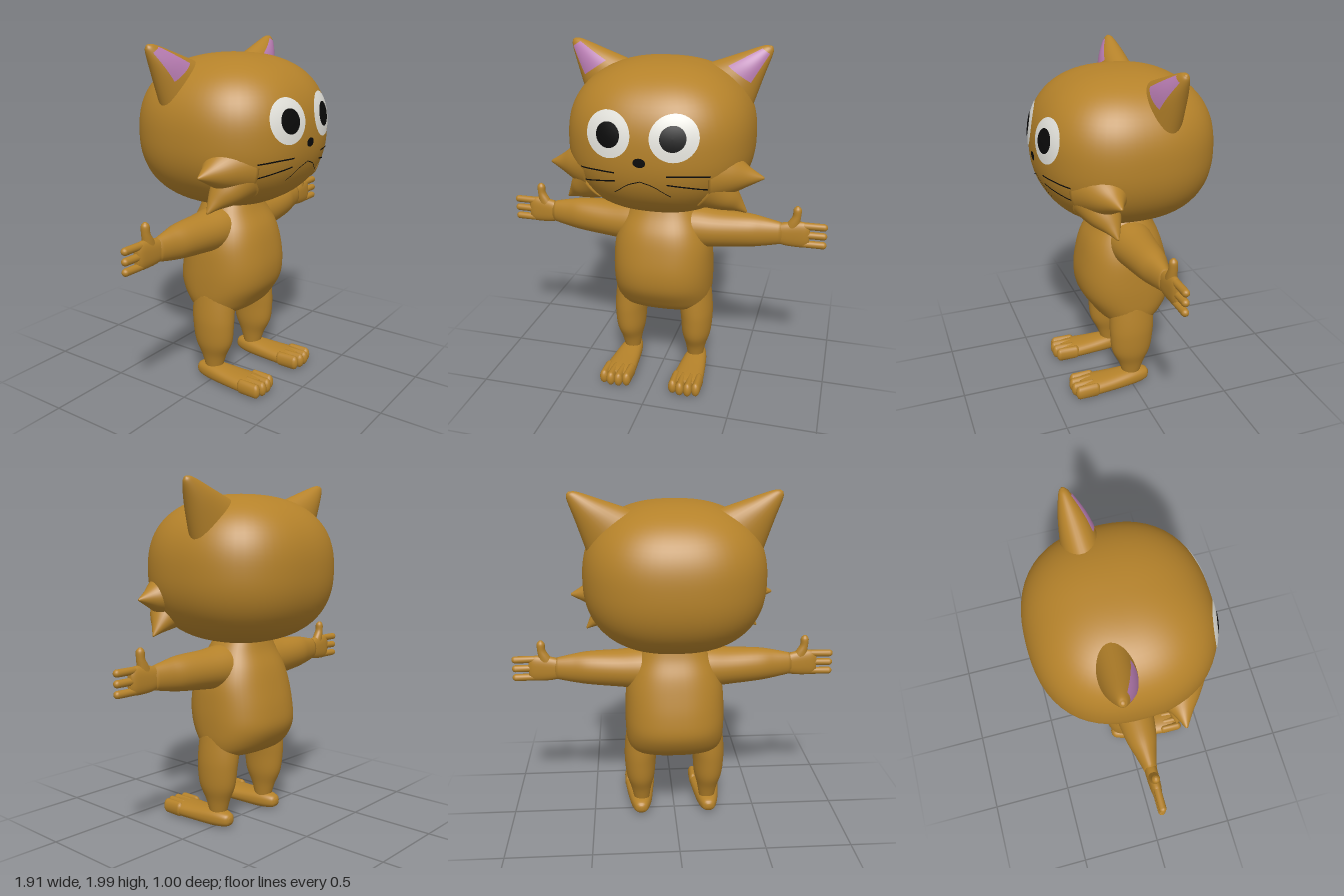
import * as THREE from 'three';
import { mergeVertices } from 'three/addons/utils/BufferGeometryUtils.js';

const material = (name, color) => {
  const m = new THREE.MeshStandardMaterial({ color });
  m.name = name;
  return m;
};

// Weld and smooth a geometry
function smooth(geo) {
  geo.deleteAttribute('uv');
  geo.deleteAttribute('normal');
  const g = mergeVertices(geo, 1e-5);
  g.computeVertexNormals();
  return g;
}

// Copy of a geometry mirrored in x
function mirrored(geo) {
  const g = geo.clone().scale(-1, 1, 1);
  g.index.array.reverse();
  g.computeVertexNormals();
  return g;
}

// Smooth skin over rings [x, y, z, a, b], with a along u and b along v.
// With opts.arc / opts.span only a patch of the skin is made, raised by opts.lift.
function loft(rings, u, v, opts = {}) {
  const { power = 2, steps = 24, sides = 32, arc = null, span = [0, 1], lift = 0 } = opts;
  const U = new THREE.Vector3(...u).normalize(), V = new THREE.Vector3(...v).normalize();
  const path = new THREE.CatmullRomCurve3(rings.map(r => new THREE.Vector3(r[0], r[1], r[2])), false, 'catmullrom');
  const size = new THREE.CatmullRomCurve3(rings.map(r => new THREE.Vector3(r[3], r[4], 0)), false, 'catmullrom');
  const along = path.getPoint(1).sub(path.getPoint(0));
  const flip = U.clone().cross(V).dot(along) < 0;
  const [from, to] = arc || [0, Math.PI * 2];
  const round = c => Math.sign(c) * Math.abs(c) ** (2 / power);
  const pos = [], idx = [];
  const tri = (a, b, c) => (flip ? idx.push(a, c, b) : idx.push(a, b, c));
  for (let i = 0; i <= steps; i++) {
    const t = span[0] + (span[1] - span[0]) * i / steps;
    const c = path.getPoint(t), s = size.getPoint(t);
    for (let j = 0; j <= sides; j++) {
      const q = from + (to - from) * j / sides;
      const p = c.clone()
        .addScaledVector(U, (Math.max(s.x, 0.002) + lift) * round(Math.cos(q)))
        .addScaledVector(V, (Math.max(s.y, 0.002) + lift) * round(Math.sin(q)));
      pos.push(p.x, p.y, p.z);
    }
  }
  const row = sides + 1;
  for (let i = 0; i < steps; i++) for (let j = 0; j < sides; j++) {
    const a = i * row + j;
    tri(a, a + 1, a + row);
    tri(a + 1, a + row + 1, a + row);
  }
  if (!arc) {
    const n = pos.length / 3, last = steps * row;
    pos.push(...path.getPoint(0).toArray(), ...path.getPoint(1).toArray());
    for (let j = 0; j < sides; j++) {
      tri(n, j + 1, j);
      tri(n + 1, last + j, last + j + 1);
    }
  }
  const g = new THREE.BufferGeometry();
  g.setAttribute('position', new THREE.Float32BufferAttribute(pos, 3));
  g.setIndex(idx);
  return smooth(g);
}

// Rounded-box head: |x/rx|^P + |y/ry|^P + |z/rz|^P = 1
const P = 2.4, HEAD = { y: 1.505, rx: 0.52, ry: 0.425, rz: 0.5 };
const faceZ = (x, y) => HEAD.rz * Math.max(0,
  1 - Math.abs(x / HEAD.rx) ** P - Math.abs((y - HEAD.y) / HEAD.ry) ** P) ** (1 / P);

function headGeometry() {
  const g = new THREE.SphereGeometry(1, 64, 48), p = g.attributes.position;
  for (let i = 0; i < p.count; i++) {
    const d = [p.getX(i), p.getY(i), p.getZ(i)];
    const s = d.reduce((sum, c) => sum + Math.abs(c) ** P, 0) ** (-1 / P);
    p.setXYZ(i, d[0] * s * HEAD.rx, d[1] * s * HEAD.ry + HEAD.y, d[2] * s * HEAD.rz);
  }
  return smooth(g);
}

// Lay a flat geometry on the face
function onFace(geo, lift) {
  const p = geo.attributes.position;
  for (let i = 0; i < p.count; i++) p.setZ(i, faceZ(p.getX(i), p.getY(i)) + lift);
  return smooth(geo);
}
const disc = (x, y, rx, ry, lift) =>
  onFace(new THREE.RingGeometry(0.0005, 1, 32, 5).scale(rx, ry, 1).translate(x, y, 0), lift);

// Thin line painted on the face, running in +x
function stroke(points, width) {
  const curve = new THREE.CatmullRomCurve3(points.map(([x, y]) => new THREE.Vector3(x, y, 0)));
  const g = new THREE.PlaneGeometry(1, width, 16, 1), p = g.attributes.position;
  for (let i = 0; i < p.count; i++) {
    const c = curve.getPoint(THREE.MathUtils.clamp(p.getX(i) + 0.5, 0, 1));
    p.setXY(i, c.x, c.y + p.getY(i));
  }
  return onFace(g, 0.004);
}

export function createModel() {
  const model = new THREE.Group();
  const fur = material('fur', 0xb5822a), pink = material('innerEarPink', 0xb87cb2);
  const white = material('eyeWhite', 0xf0efe8), black = material('black', 0x0a0a0a);
  const add = (name, geo, mat) => {
    const m = new THREE.Mesh(geo, mat);
    m.name = name;
    model.add(m);
  };
  const pair = (name, geo, mat) => {
    add('left' + name, geo, mat);
    add('right' + name, mirrored(geo), mat);
  };
  const X = [1, 0, 0], Y = [0, 1, 0], Z = [0, 0, 1];

  add('head', headGeometry(), fur);

  // Cheek tufts
  pair('UpperCheekTuft', loft([
    [0.34, 1.375, 0.25, 0.15, 0.15], [0.45, 1.365, 0.222, 0.1, 0.105],
    [0.53, 1.355, 0.214, 0.05, 0.05], [0.606, 1.35, 0.208, 0.006, 0.006]], Y, Z), fur);
  pair('LowerCheekTuft', loft([
    [0.33, 1.29, 0.25, 0.13, 0.13], [0.42, 1.225, 0.23, 0.075, 0.085],
    [0.475, 1.182, 0.208, 0.035, 0.04], [0.518, 1.143, 0.195, 0.005, 0.005]], [0.6, 0.8, 0], Z), fur);

  // Ears with pink inner patches
  const ear = [[0.31, 1.75, -0.1, 0.2, 0.115], [0.455, 1.885, -0.115, 0.1, 0.075],
    [0.548, 1.97, -0.13, 0.037, 0.03], [0.572, 1.99, -0.133, 0.008, 0.008]];
  const across = [0.83, -0.55, 0];
  pair('Ear', loft(ear, across, Z), fur);
  pair('InnerEar', loft(ear, across, Z, { arc: [0.95, 2.2], span: [0.23, 0.65], lift: 0.004, sides: 12 }), pink);

  // Face
  pair('Eye', disc(0.175, 1.607, 0.125, 0.122, 0.004), white);
  pair('Pupil', disc(0.172, 1.607, 0.067, 0.067, 0.008), black);
  add('nose', disc(0, 1.475, 0.034, 0.025, 0.005), black);
  pair('UpperWhisker', stroke([[0.14, 1.408], [0.25, 1.407], [0.355, 1.398]], 0.008), black);
  pair('LowerWhisker', stroke([[0.14, 1.36], [0.25, 1.342], [0.34, 1.32]], 0.008), black);
  pair('Mouth', stroke([[0.0, 1.37], [0.07, 1.345], [0.12, 1.31], [0.155, 1.286]], 0.005), black);

  // Torso
  add('torso', loft([
    [0, 0.425, -0.01, 0.2, 0.09], [0, 0.455, -0.015, 0.265, 0.165], [0, 0.52, -0.02, 0.288, 0.225],
    [0, 0.61, -0.015, 0.295, 0.272], [0, 0.72, -0.005, 0.295, 0.275], [0, 0.85, 0, 0.285, 0.25],
    [0, 0.95, 0, 0.255, 0.22], [0, 1.04, -0.005, 0.21, 0.175], [0, 1.11, -0.01, 0.17, 0.15]],
    X, Z, { power: 2.4, steps: 40, sides: 48 }), fur);

  // Arms, hands and fingers
  pair('Arm', loft([
    [0.1, 0.95, 0, 0.13, 0.14], [0.2, 0.952, 0, 0.125, 0.13], [0.32, 0.952, 0, 0.112, 0.115],
    [0.5, 0.957, 0, 0.1, 0.09], [0.6, 0.957, 0, 0.085, 0.062], [0.7, 0.957, 0, 0.064, 0.036]], Y, Z), fur);
  pair('Hand', loft([
    [0.67, 0.957, 0, 0.058, 0.034], [0.72, 0.957, 0, 0.07, 0.035], [0.79, 0.96, 0, 0.077, 0.032],
    [0.83, 0.96, 0, 0.074, 0.027], [0.855, 0.96, 0, 0.055, 0.016]], Y, Z, { power: 2.4 }), fur);
  [1.015, 0.96, 0.905].forEach((y, i) => pair('Finger' + (i + 1), smooth(
    new THREE.CapsuleGeometry(0.021, 0.11, 6, 14).rotateZ(Math.PI / 2).translate(0.878, y, 0)), fur));
  pair('Thumb', loft([
    [0.745, 0.98, 0, 0.05, 0.03], [0.763, 1.03, 0, 0.034, 0.028], [0.777, 1.07, 0, 0.024, 0.024],
    [0.779, 1.11, 0, 0.023, 0.022], [0.779, 1.129, 0, 0.008, 0.008]], X, Z), fur);

  // Legs
  pair('Leg', loft([
    [0.19, 0.58, -0.005, 0.1, 0.13], [0.203, 0.45, -0.003, 0.101, 0.135], [0.21, 0.36, 0, 0.096, 0.132],
    [0.21, 0.25, 0.002, 0.086, 0.118], [0.207, 0.16, 0, 0.062, 0.078], [0.205, 0.07, 0, 0.045, 0.05]], X, Z), fur);

  // Feet and toes
  pair('Foot', loft([
    [0.21, 0.055, -0.108, 0.015, 0.015], [0.21, 0.054, -0.085, 0.042, 0.038], [0.21, 0.054, 0, 0.066, 0.051],
    [0.212, 0.05, 0.15, 0.084, 0.048], [0.213, 0.049, 0.27, 0.092, 0.046], [0.213, 0.05, 0.33, 0.075, 0.038]],
    X, Y, { power: 2.4 }), fur);
  [-0.07, -0.024, 0.024, 0.07].forEach((x, i) => pair('Toe' + (i + 1), smooth(
    new THREE.CapsuleGeometry(0.026, 0.1, 6, 14).rotateX(Math.PI / 2).scale(1, 1.7, 1)
      .translate(0.213 + x, 0.054, 0.322 - Math.abs(x) * 0.3)), fur));

  return model;
}
